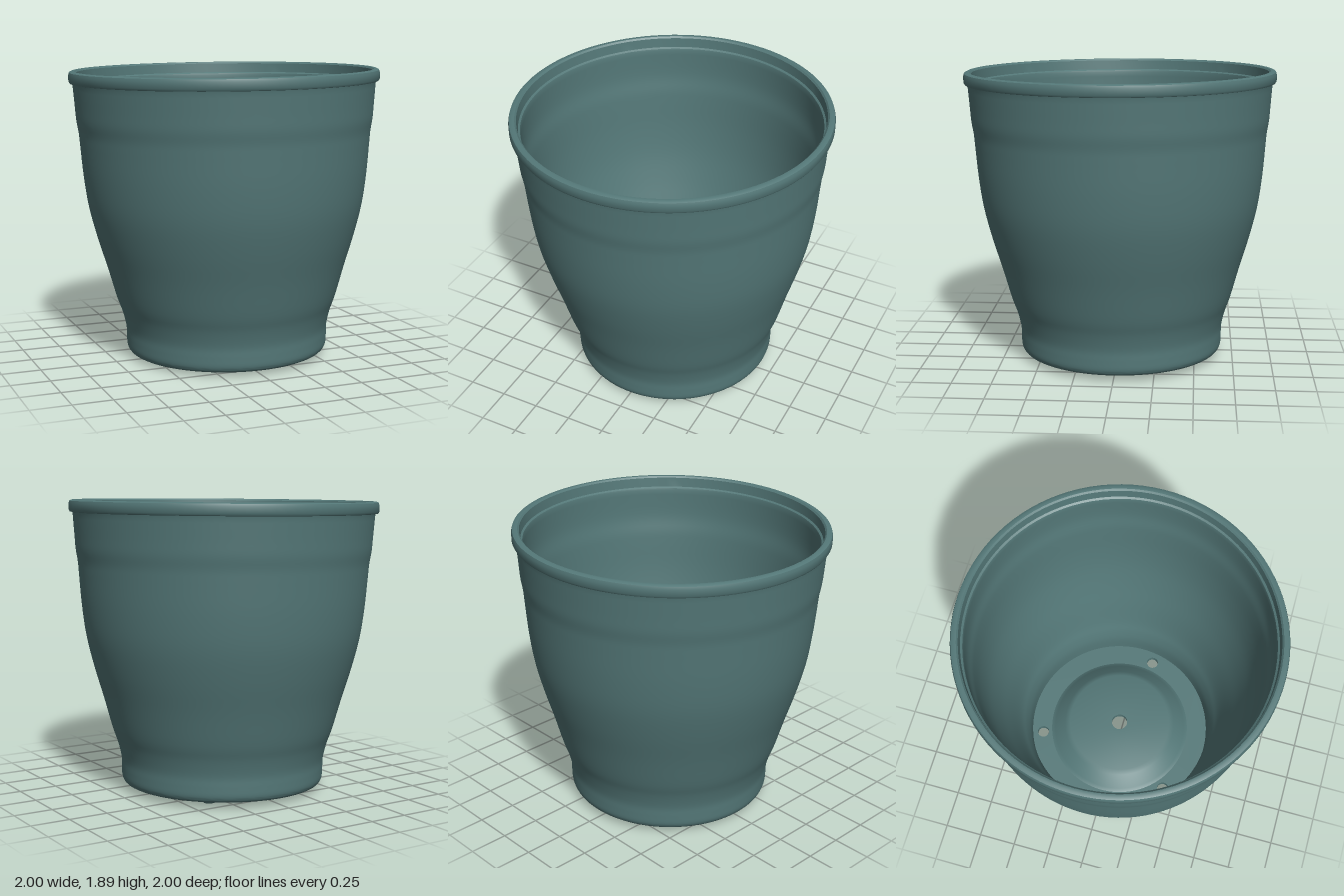
import * as THREE from 'three';
import { toCreasedNormals } from 'three/addons/utils/BufferGeometryUtils.js';

const SEGMENTS = 96;
const FLOOR_BOTTOM = 0.03, FLOOR_TOP = 0.07;
const RING_INNER = 0.49, RING_OUTER = 0.615;

const v2 = ([x, y]) => new THREE.Vector2(x, y);
const smooth = (pts, n) => new THREE.SplineCurve(pts.map(v2)).getPoints(n);

function lathe(points) {
  return toCreasedNormals(new THREE.LatheGeometry(points, SEGMENTS), 0.6);
}

export function createModel() {
  const plastic = new THREE.MeshStandardMaterial({ color: 0x547878 });
  plastic.name = 'dusty teal plastic';

  const pot = new THREE.Group();
  pot.name = 'flowerPot';
  const add = (name, geometry) => {
    const mesh = new THREE.Mesh(geometry, plastic);
    mesh.name = name;
    pot.add(mesh);
    return mesh;
  };

  // Wall: rounded foot, flared waist, faint step below the rim, then back down inside
  const outer = [
    [RING_OUTER, FLOOR_BOTTOM], [0.645, 0.038], [0.662, 0.07], [0.665, 0.13], [0.668, 0.2],
    [0.692, 0.3], [0.727, 0.4], [0.783, 0.6], [0.843, 0.8], [0.892, 1.0], [0.92, 1.2],
    [0.937, 1.4], [0.944, 1.48], [0.957, 1.56], [0.964, 1.65], [0.974, 1.78],
  ];
  const inner = [
    [0.931, 1.78], [0.928, 1.6], [0.91, 1.48], [0.902, 1.4], [0.885, 1.2], [0.855, 1.0],
    [0.805, 0.8], [0.745, 0.6], [0.69, 0.4], [0.655, 0.3], [0.633, 0.2], [0.628, FLOOR_TOP],
  ];
  const lip = [
    [0.977, 1.795], [0.993, 1.798], [1.0, 1.81], [1.0, 1.85], [0.995, 1.866], [0.98, 1.873],
    [0.962, 1.872], [0.952, 1.862], [0.946, 1.8], [0.934, 1.792],
  ];
  add('wallAndRim', lathe([
    ...smooth(outer, 60), ...lip.map(v2), ...smooth(inner, 48),
    new THREE.Vector2(RING_OUTER, FLOOR_TOP),
  ]));

  // Flat floor ring with three drain holes
  const ring = new THREE.Shape().absarc(0, 0, RING_OUTER, 0, Math.PI * 2);
  ring.holes.push(new THREE.Path().absarc(0, 0, RING_INNER, 0, Math.PI * 2, true));
  const spots = [0, 1, 2].map((i) => {
    const a = THREE.MathUtils.degToRad(10.5 + 120 * i);
    return { x: 0.553 * Math.cos(a), z: 0.553 * Math.sin(a) };
  });
  for (const { x, z } of spots) {
    ring.holes.push(new THREE.Path().absarc(x, -z, 0.04, 0, Math.PI * 2, true));
  }
  const ringGeometry = new THREE.ExtrudeGeometry(ring, {
    depth: FLOOR_TOP - FLOOR_BOTTOM, bevelEnabled: false, curveSegments: 48,
  });
  ringGeometry.rotateX(-Math.PI / 2);
  ringGeometry.translate(0, FLOOR_BOTTOM, 0);
  add('floorRing', toCreasedNormals(ringGeometry, 0.6));

  // Raised centre of the floor, hollow below, with the middle drain hole
  const under = [
    [0.055, 0.145], [0.355, 0.145], [0.385, 0.135], [0.46, 0.045], [RING_INNER, FLOOR_BOTTOM],
  ];
  const over = [
    [RING_INNER, FLOOR_TOP], [0.465, 0.083], [0.39, 0.172], [0.355, 0.185], [0.055, 0.185],
    [0.055, 0.145],
  ];
  add('raisedFloor', lathe([...under, ...over].map(v2)));

  // Low domed feet opposite the drain holes
  for (const { x, z } of spots) {
    const foot = add('foot', new THREE.SphereGeometry(1, 24, 12));
    foot.scale.set(0.05, 0.024, 0.05);
    foot.position.set(-x, FLOOR_BOTTOM, -z);
  }

  // The pot leans very slightly
  pot.position.set(0.024, 0, -0.012);
  pot.rotation.set(0.006, 0, 0.0125);

  const model = new THREE.Group();
  model.name = 'model';
  model.add(pot);
  return model;
}
